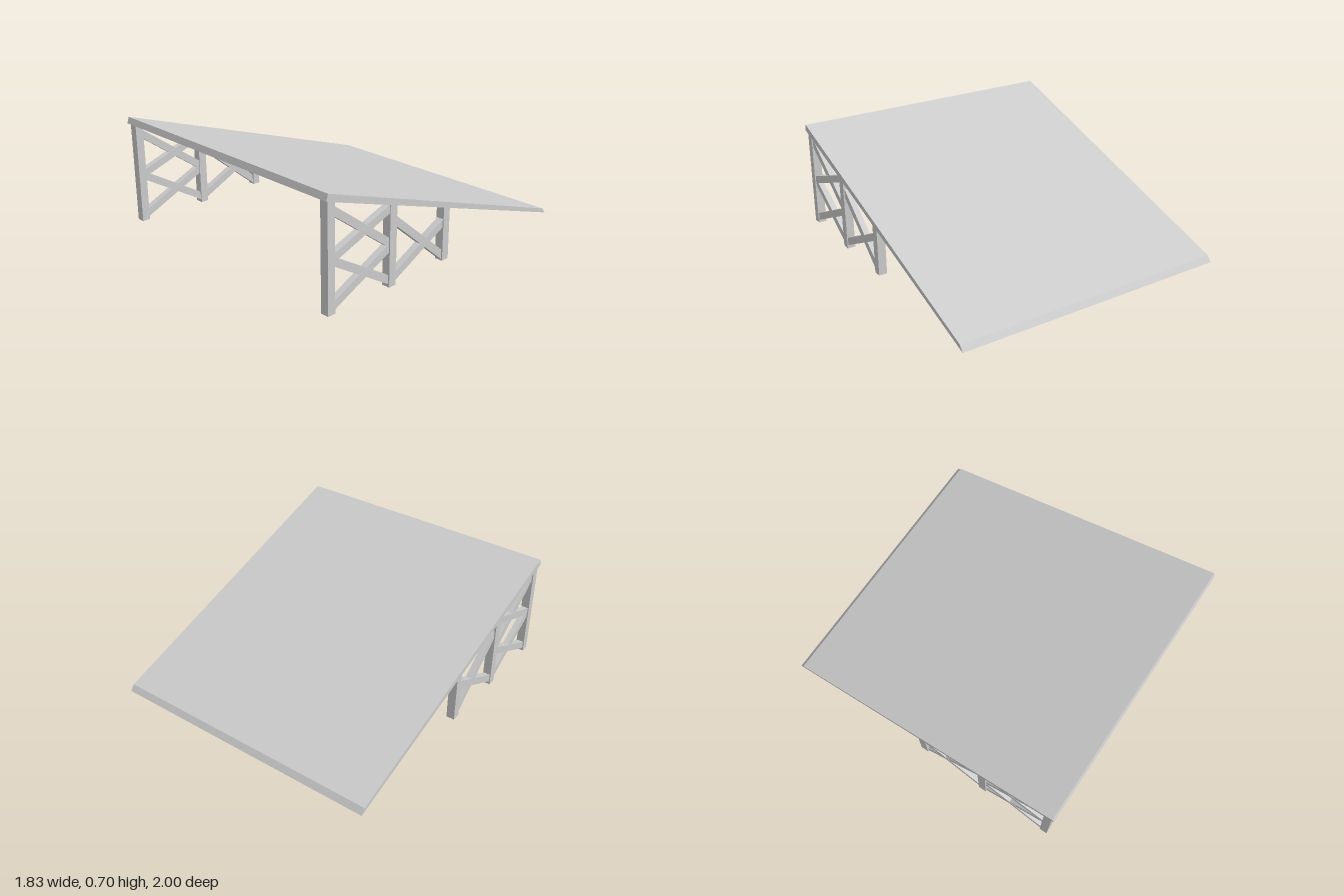
import * as THREE from 'three';

const grey = new THREE.MeshStandardMaterial({ color: 0xcccccc, flatShading: true });

// Extrude a side profile of [z, y] points along x, centred on x
function slab(name, profile, width, x) {
  const shape = new THREE.Shape(profile.map(([z, y]) => new THREE.Vector2(z, y)));
  const geometry = new THREE.ExtrudeGeometry(shape, { depth: width, bevelEnabled: false });
  geometry.rotateY(-Math.PI / 2).translate(width / 2, 0, 0);
  const mesh = new THREE.Mesh(geometry, grey);
  mesh.name = name;
  mesh.position.x = x;
  return mesh;
}

// Height of the deck's underside at z
const underside = (z) => 0.335 + 0.325 * z;

// Sloped beam with ends cut upright against the posts
function brace(name, z0, y0, z1, y1, width, x) {
  const h = 0.0235 * Math.hypot(1, (y1 - y0) / (z1 - z0));
  return slab(name, [[z0, y0 - h], [z1, y1 - h], [z1, y1 + h], [z0, y0 + h]], width, x);
}

export function createModel() {
  const model = new THREE.Group();

  // Sloping deck with a bevelled lower edge
  model.add(slab('deck', [[1, 0.66], [0.987, 0.7], [-0.972, 0.047], [-1, 0.01]], 1.83, 0));

  // Posts: back z, front z, foot height
  const posts = [[0.93, 0.982, 0], [0.459, 0.513, 0], [0.002, 0.055, 0.01]];
  // Braces: back z, back height, front z, front height
  const rising = [[0.513, 0.24, 0.93, 0.045], [0.513, 0.472, 0.93, 0.322], [0.055, 0.25, 0.459, 0.05]];
  const falling = [[0.513, 0.047, 0.93, 0.3], [0.513, 0.275, 0.93, 0.585], [0.055, 0.05, 0.459, 0.39]];

  for (const side of [-1, 1]) {
    const frame = new THREE.Group();
    frame.name = side > 0 ? 'leftFrame' : 'rightFrame';
    const x = side * 0.878;
    for (const [z0, z1, y] of posts) {
      frame.add(slab('post', [[z0, y], [z1, y], [z1, underside(z1)], [z0, underside(z0)]], 0.054, x));
    }
    for (const b of rising) frame.add(brace('risingBrace', ...b, 0.042, x));
    for (const b of falling) frame.add(brace('fallingBrace', ...b, 0.038, x));
    model.add(frame);
  }
  return model;
}
